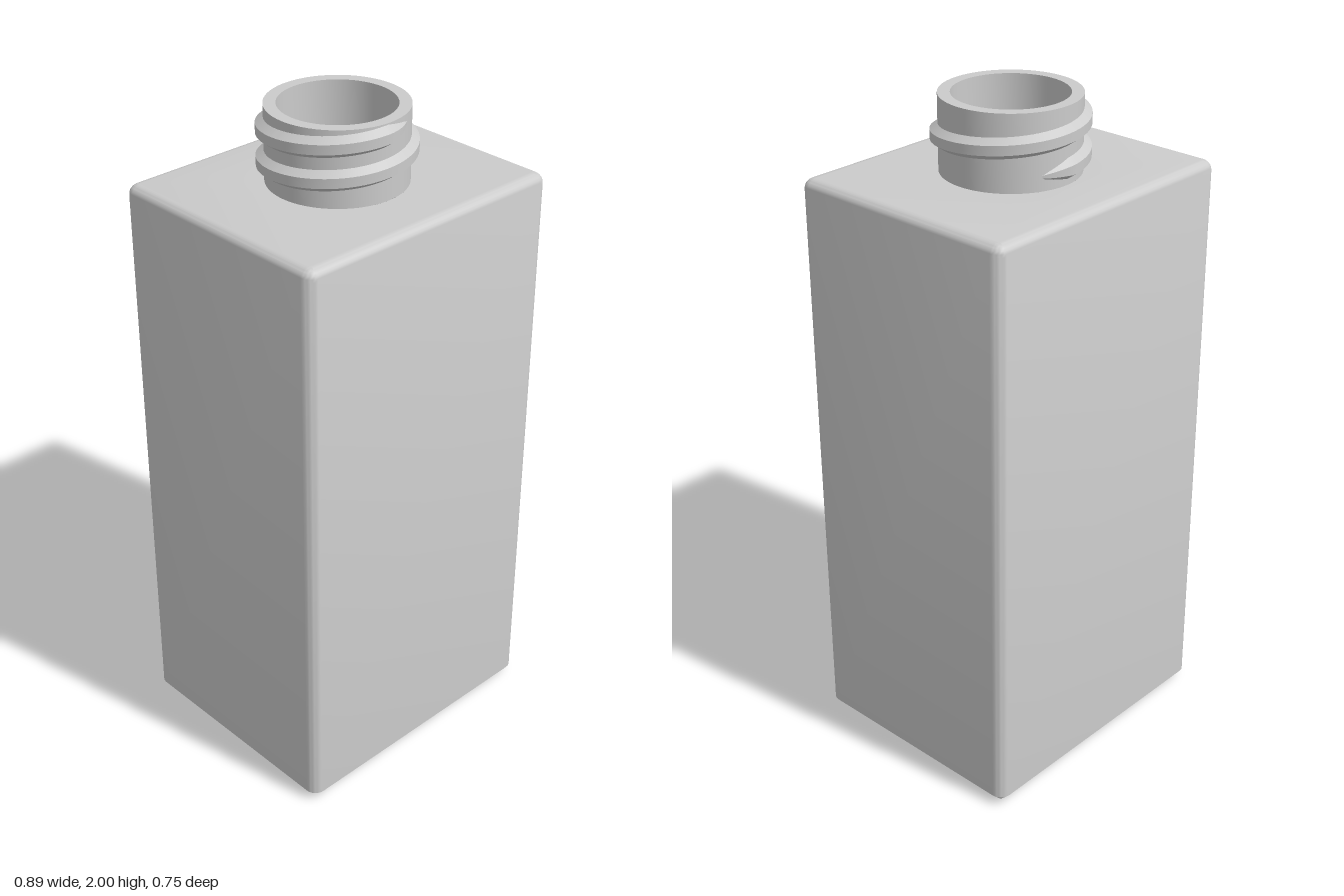
import * as THREE from 'three';
import { toCreasedNormals, mergeGeometries } from 'three/addons/utils/BufferGeometryUtils.js';

const HX = 0.447, HZ = 0.373, CORNER = 0.035;   // body half sizes and corner radius
const SHOULDER = 1.78, TOP = 2, WALL = 0.035, NECK = 0.2;
const material = new THREE.MeshStandardMaterial({ color: 0xcccccc });

// Rounded rectangle outline, counter-clockwise, pulled in by an inset
function outline(inset) {
  const r = Math.max(CORNER - inset, 0.004), points = [];
  const cx = HX - inset - r, cz = HZ - inset - r;
  [[1, 1], [-1, 1], [-1, -1], [1, -1]].forEach(([sx, sz], q) => {
    for (let i = 0; i <= 8; i++) {
      const a = (q + i / 8) * Math.PI / 2;
      points.push(new THREE.Vector2(sx * cx + r * Math.cos(a), sz * cz + r * Math.sin(a)));
    }
  });
  return points;
}

// Skin between rows of points listed from bottom to top; flip turns it inward
function skin(rows, flip = false) {
  const n = rows[0].length, index = [];
  for (let j = 0; j < rows.length - 1; j++) {
    for (let i = 0; i < n - 1; i++) {
      const a = j * n + i, b = a + 1, c = b + n, d = a + n;
      index.push(...(flip ? [a, c, b, a, d, c] : [a, b, c, a, c, d]));
    }
  }
  const g = new THREE.BufferGeometry().setFromPoints(rows.flat());
  g.setIndex(index);
  return g.toNonIndexed();
}

// Flat rounded rectangle at height y, with an optional round hole
function cap(inset, y, up, hole = 0) {
  const shape = new THREE.Shape(outline(inset));
  if (hole) shape.holes.push(new THREE.Path().absarc(0, 0, hole, 0, Math.PI * 2, true));
  const g = new THREE.ShapeGeometry(shape, 48).toNonIndexed();
  g.deleteAttribute('uv');
  g.deleteAttribute('normal');
  return g.rotateX(up ? -Math.PI / 2 : Math.PI / 2).translate(0, y, 0);
}

// Stack of outlines given as [inset, y]
function wall(levels, flip) {
  return skin(levels.map(([inset, y]) => {
    const p = outline(inset);
    return [...p, p[0]].map(v => new THREE.Vector3(v.x, y, -v.y));
  }), flip);
}

function part(name, geometry, crease = 0.5) {
  const mesh = new THREE.Mesh(toCreasedNormals(geometry, crease), material);
  mesh.name = name;
  return mesh;
}

// Outer body: chamfered foot, straight sides, rounded shoulder
function body() {
  const r = 0.03, levels = [[r, 0], [0, r]];
  for (let i = 0; i <= 6; i++) {
    const a = i / 6 * Math.PI / 2;
    levels.push([r * (1 - Math.cos(a)), SHOULDER - r + r * Math.sin(a)]);
  }
  return part('body', mergeGeometries([wall(levels), cap(r, 0, false), cap(r, SHOULDER, true, NECK)]));
}

// Hollow inside, facing inward
function cavity() {
  const y0 = WALL, y1 = SHOULDER - WALL;
  return part('cavity', mergeGeometries([
    wall([[WALL, y0], [WALL, y1]], true),
    cap(WALL, y0, true),
    cap(WALL, y1, false, NECK - WALL),
  ]));
}

// Open neck with a flat rim and a throat into the cavity
function neck() {
  const profile = [[NECK, SHOULDER], [NECK, TOP], [NECK - WALL, TOP], [NECK - WALL, SHOULDER - WALL]];
  return part('neck', new THREE.LatheGeometry(profile.map(p => new THREE.Vector2(...p)), 72));
}

// Screw thread: trapezoid section on a rising helix, tapering out at both ends
function thread() {
  const start = -Math.PI - 0.45, end = Math.PI * 2 + 0.45, steps = 150, pitch = 0.094;
  const section = [[-0.003, -0.032], [0.022, -0.014], [0.022, 0.014], [-0.003, 0.032]];
  const rows = section.map(([out, dy]) => {
    const row = [];
    for (let i = 0; i <= steps; i++) {
      const a = start + (end - start) * i / steps;
      const t = Math.min(1, (a - start) / 0.5, (end - a) / 0.5);
      const r = NECK - 0.003 + (out + 0.003) * t;
      const y = 1.873 + pitch * a / (Math.PI * 2) + dy * (0.2 + 0.8 * t);
      row.push(new THREE.Vector3(r * Math.sin(a), y, r * Math.cos(a)));
    }
    return row;
  });
  return part('thread', skin(rows));
}

export function createModel() {
  const bottle = new THREE.Group();
  bottle.name = 'bottle';
  bottle.add(body(), cavity(), neck(), thread());
  return bottle;
}
